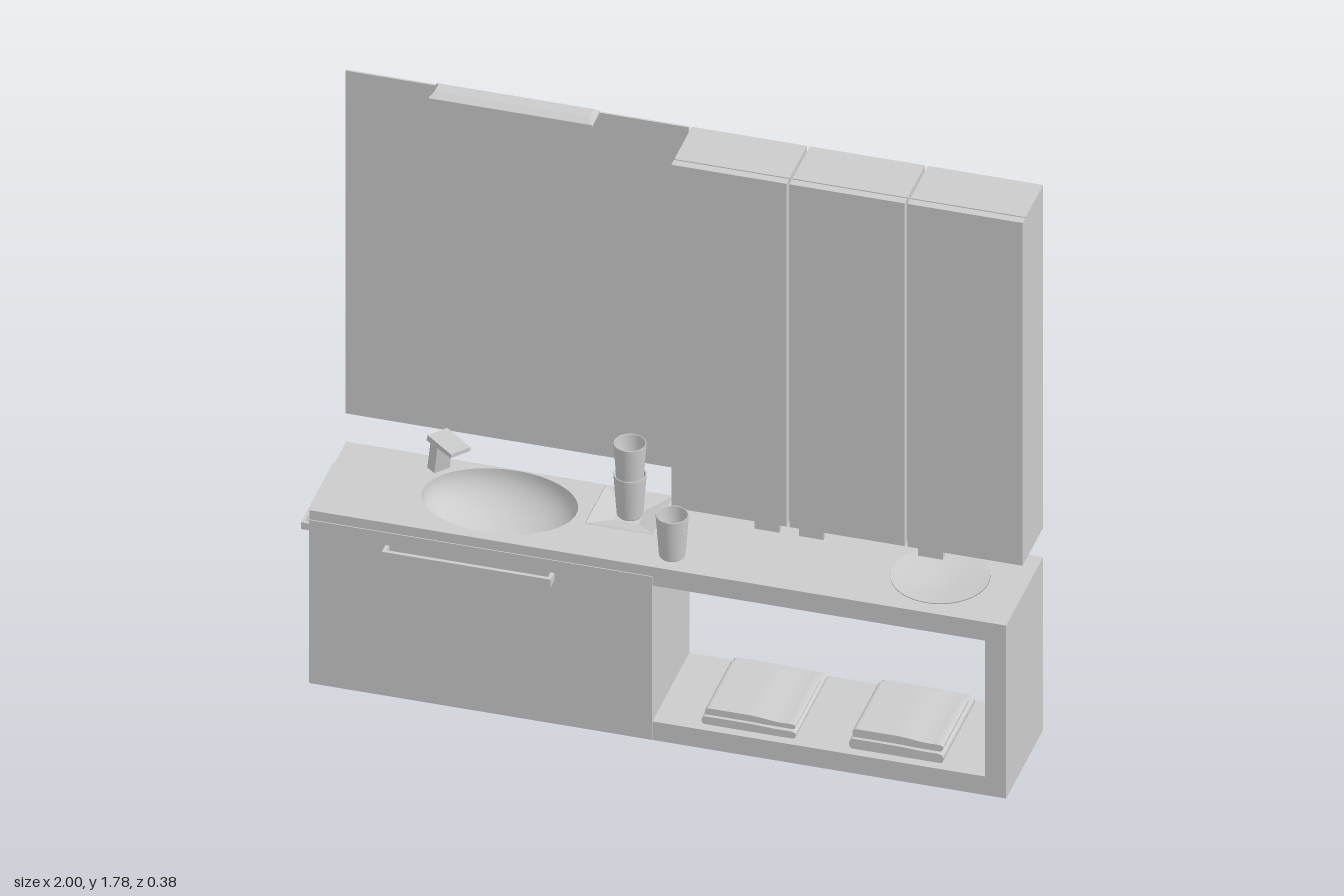
import * as THREE from 'three';

const grey = new THREE.MeshStandardMaterial({ color: 0xcccccc });
const thin = new THREE.MeshStandardMaterial({ color: 0xcccccc, side: THREE.DoubleSide });
const facet = new THREE.MeshStandardMaterial({ color: 0xcccccc, side: THREE.DoubleSide, flatShading: true });

export function createModel() {
  const root = new THREE.Group();

  const add = (name, geometry, material = grey) => {
    const mesh = new THREE.Mesh(geometry, material);
    mesh.name = name;
    root.add(mesh);
    return mesh;
  };
  // Box given by its limits on each axis
  const box = (name, x0, x1, y0, y1, z0, z1) => {
    const mesh = add(name, new THREE.BoxGeometry(x1 - x0, y1 - y0, z1 - z0));
    mesh.position.set((x0 + x1) / 2, (y0 + y1) / 2, (z0 + z1) / 2);
    return mesh;
  };
  const lathe = (name, pts, x, y, z, segments = 40, material = thin, phi = 0) => {
    const profile = pts.map(p => new THREE.Vector2(p[0], p[1]));
    const mesh = add(name, new THREE.LatheGeometry(profile, segments, phi), material);
    mesh.position.set(x, y, z);
    return mesh;
  };
  const polygon = pts => new THREE.Shape(pts.map(p => new THREE.Vector2(p[0], p[1])));
  const extrude = (shape, depth) =>
    new THREE.ExtrudeGeometry(shape, { depth, bevelEnabled: false, curveSegments: 48 });

  const L = -0.965, R = 0.995, BACK = -0.19, FRONT = 0.158;
  const basin = { x: -0.485, z: -0.03, rx: 0.215, rz: 0.155 };

  // Worktop with an oval opening for the basin
  const top = polygon([[L, -FRONT], [R, -FRONT], [R, -BACK], [L, -BACK]]);
  const hole = new THREE.Path();
  hole.absellipse(basin.x, -basin.z, basin.rx, basin.rz, 0, Math.PI * 2, true);
  top.holes.push(hole);
  const worktop = add('worktop', extrude(top, 0.06).rotateX(-Math.PI / 2));
  worktop.position.y = 0.5;

  // Lower cabinet, open at the back
  box('bottomPanel', L, R, 0, 0.06, BACK, FRONT);
  box('rightEndPanel', L, L + 0.06, 0.06, 0.5, BACK, FRONT);
  box('leftEndPanel', R - 0.06, R, 0.06, 0.5, BACK, FRONT);
  box('divider', -0.065, 0, 0.06, 0.5, BACK, FRONT);
  box('drawerFront', L, 0, 0.004, 0.53, 0.14, 0.161);

  // Basin bowl and waste pipe
  const bowl = [];
  for (let i = 0; i <= 16; i++) {
    const a = (i / 16) * Math.PI / 2;
    bowl.push([Math.sin(a), -0.115 * Math.cos(a)]);
  }
  lathe('basin', bowl, basin.x, 0.559, basin.z, 56).scale.set(basin.rx, 1, basin.rz);
  const pipe = add('wastePipe', new THREE.CylinderGeometry(0.013, 0.013, 0.18, 20));
  pipe.position.set(basin.x, 0.36, basin.z);
  const drain = add('drain', new THREE.CylinderGeometry(0.014, 0.014, 0.004, 24));
  drain.position.set(basin.x, 0.448, basin.z);

  // Drawer handle and side towel rail
  box('drawerHandle', -0.75, -0.275, 0.465, 0.49, 0.184, 0.195);
  for (const x of [-0.75, -0.286]) box('handlePost', x, x + 0.011, 0.465, 0.49, 0.16, 0.19);
  box('towelRail', -1, -0.99, 0.468, 0.49, -0.18, 0.12);
  for (const z of [-0.18, 0.11]) box('railPost', -0.995, L, 0.468, 0.49, z, z + 0.01);

  // Tap: leaning body with a flat spout turned towards the basin
  const tap = new THREE.Group();
  tap.name = 'tap';
  const lean = polygon([[-0.018, 0], [0.016, 0], [0.03, 0.096], [-0.002, 0.096]]);
  const body = add('tapBody', extrude(lean, 0.05).translate(0, 0, -0.025));
  const spout = add('tapSpout', extrude(
    polygon([[-0.012, 0.094], [0.105, 0.1], [0.105, 0.112], [-0.006, 0.114]]), 0.064).translate(0, 0, -0.032));
  tap.add(body, spout);
  tap.position.set(-0.69, 0.56, -0.14);
  tap.rotation.y = -0.68;
  root.add(tap);

  // Mirror with a lamp on its upper edge
  box('mirror', L, 0, 0.655, 1.765, BACK, BACK + 0.006);
  const lampProfile = polygon([[0.108, 0], [0.185, 0], [0.185, 0.006], [0.168, 0.02], [0.128, 0.02], [0.108, 0.008]]);
  const lampGeometry = extrude(lampProfile, 0.46).rotateY(Math.PI / 2);
  const p = lampGeometry.attributes.position;
  for (let i = 0; i < p.count; i++) {
    if (p.getY(i) > 0.015) p.setX(i, p.getX(i) < 0.23 ? 0.012 : 0.448);
  }
  lampGeometry.computeVertexNormals();
  add('lamp', lampGeometry).position.set(-0.71, 1.765, 0);

  // Three wall cabinets with doors and finger pulls
  const pulls = [0.24, 0.365, 0.7];
  [0.007, 0.339, 0.671].forEach((x, i) => {
    box('wallCabinet', x, x + 0.324, 0.655, 1.765, BACK, -0.026);
    box('cabinetDoor', x, x + 0.324, 0.655, 1.765, -0.022, 0.003);
    box('doorHinge', x + 0.01, x + 0.314, 0.67, 1.75, -0.027, -0.021);
    box('doorPull', pulls[i], pulls[i] + 0.07, 0.63, 0.656, -0.018, 0.001);
  });

  // Dishes and tumblers
  lathe('squareDish', [[0, 0], [0.05, 0], [0.138, 0.022], [0.134, 0.025], [0.05, 0.006], [0, 0.006]],
    -0.128, 0.56, -0.057, 4, facet, Math.PI / 4);
  lathe('roundDish', [[0, 0], [0.05, 0], [0.135, 0.02], [0.134, 0.023], [0.05, 0.006], [0, 0.006]],
    0.765, 0.56, 0.008, 48);
  const tumbler = (x, y, z) => lathe('tumbler',
    [[0, 0], [0.033, 0], [0.036, 0.004], [0.045, 0.13], [0.043, 0.133], [0.041, 0.13], [0.032, 0.01], [0, 0.008]], x, y, z);
  tumbler(0.035, 0.56, 0.088);
  tumbler(-0.128, 0.567, -0.06);
  tumbler(-0.128, 0.667, -0.06);

  // Folded towels: two soft layers joined by a rounded fold
  const layer = (w, h, sag) => {
    const s = new THREE.Shape();
    s.moveTo(0.01, 0);
    s.lineTo(w - 0.01, 0);
    s.quadraticCurveTo(w, 0, w, h * 0.5);
    s.quadraticCurveTo(w, h - sag, w - 0.02, h - sag);
    s.bezierCurveTo(w * 0.75, h - sag * 1.5, w * 0.65, h, w * 0.45, h);
    s.lineTo(0.015, h);
    s.quadraticCurveTo(0, h, 0, h * 0.5);
    s.quadraticCurveTo(0, 0, 0.01, 0);
    return s;
  };
  const towel = (x, h) => {
    const lower = add('towelLowerLayer', extrude(layer(0.265, h * 0.55, 0.003), 0.3));
    lower.position.set(x, 0.06, -0.17);
    const upper = add('towelUpperLayer', extrude(layer(0.255, h * 0.48, 0.007), 0.24));
    upper.position.set(x + 0.006, 0.06 + h * 0.52, -0.12);
  };
  towel(0.13, 0.046);
  towel(0.545, 0.058);

  return root;
}
